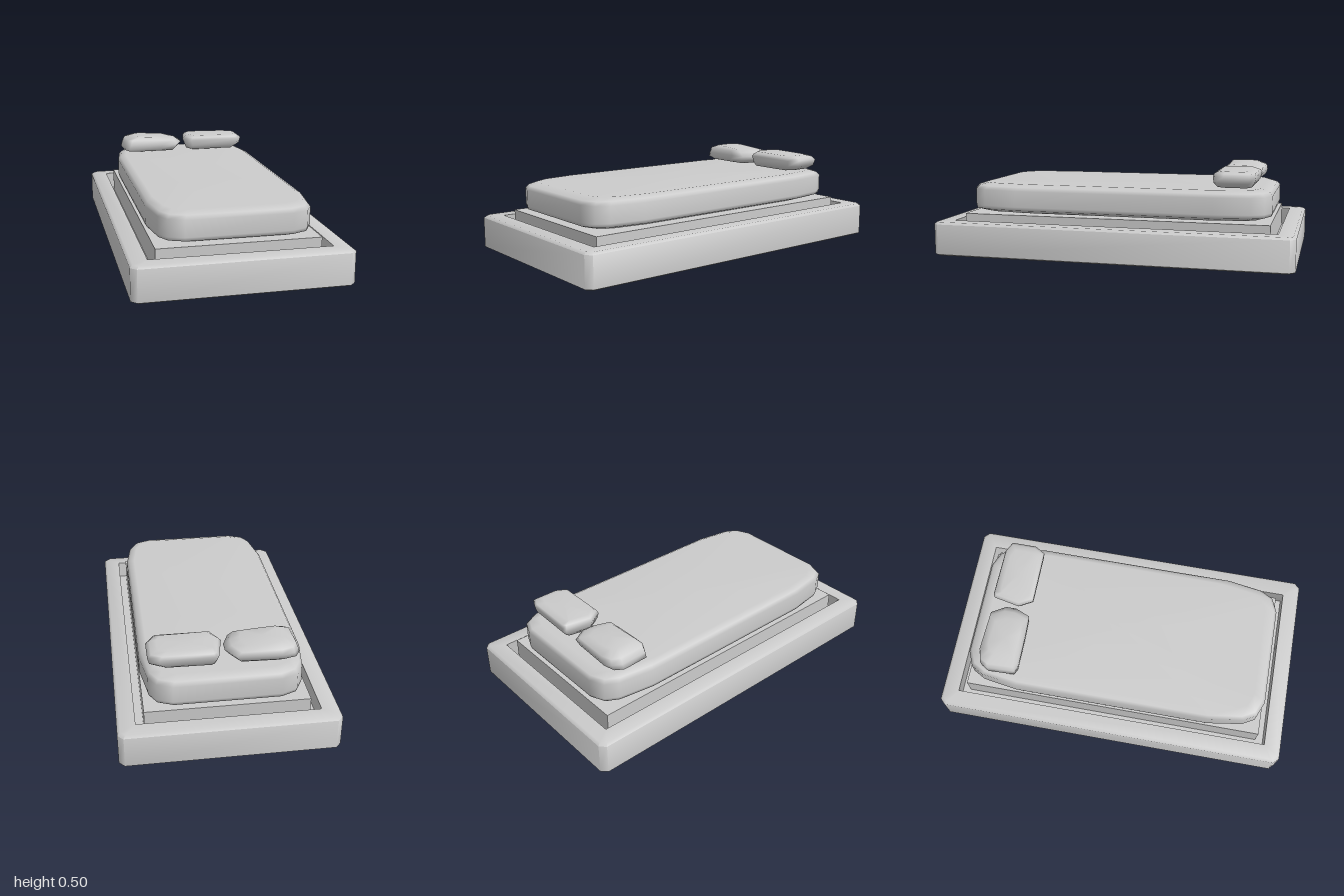
import * as THREE from 'three';
import { toCreasedNormals } from 'three/addons/utils/BufferGeometryUtils.js';

const material = new THREE.MeshStandardMaterial({ color: 0xcccccc });

// Rectangle with cut corners, as [x, z] points; cx and cz are the cut lengths
function cutRect(hx, hz, cx, cz = cx) {
  return [
    [hx, -hz + cz], [hx, hz - cz], [hx - cx, hz], [-hx + cx, hz],
    [-hx, hz - cz], [-hx, -hz + cz], [-hx + cx, -hz], [hx - cx, -hz],
  ];
}

// Stretch a unit outline to the given bounds at height y, tilting it along x
function ring(outline, y, x0, x1, z0, z1, tilt = 0) {
  return outline.map(([u, v]) => [
    (x0 + x1) / 2 + u * (x1 - x0) / 2, y + tilt * u, (z0 + z1) / 2 + v * (z1 - z0) / 2,
  ]);
}

// Closed skin over a stack of rings, capped at both ends
function loft(rings) {
  const n = rings[0].length;
  const pos = rings.flat(2);
  const index = [];
  for (let k = 0; k < rings.length - 1; k++) {
    for (let i = 0; i < n; i++) {
      const a = k * n + i, b = k * n + (i + 1) % n;
      index.push(a, a + n, b, b, a + n, b + n);
    }
  }
  [0, rings.length - 1].forEach((k) => {
    const centre = pos.length / 3;
    for (let c = 0; c < 3; c++) pos.push(rings[k].reduce((s, p) => s + p[c], 0) / n);
    for (let i = 0; i < n; i++) {
      const a = k * n + i, b = k * n + (i + 1) % n;
      if (k === 0) index.push(centre, a, b);
      else index.push(centre, b, a);
    }
  });
  const g = new THREE.BufferGeometry();
  g.setAttribute('position', new THREE.Float32BufferAttribute(pos, 3));
  g.setIndex(index);
  g.computeVertexNormals();
  return g;
}

function part(name, geometry) {
  const mesh = new THREE.Mesh(geometry, material);
  mesh.name = name;
  return mesh;
}

export function createModel() {
  const bed = new THREE.Group();
  bed.name = 'bed';

  // Frame: bevelled outside, flat rim, sunken floor
  const level = (pts, y) => pts.map(([x, z]) => [x, y, z]);
  const outer = cutRect(0.57, 1, 0.03);
  const outerEdge = cutRect(0.555, 0.985, 0.025);
  const inner = cutRect(0.475, 0.905, 0.001);
  bed.add(part('frame', toCreasedNormals(loft([
    level(outerEdge, 0), level(outer, 0.008), level(outer, 0.178), level(outerEdge, 0.19),
    level(inner, 0.19), level(inner, 0.09),
  ]), 1.0)));

  // Platform under the mattress
  const platform = part('platform', new THREE.BoxGeometry(0.86, 0.135, 1.72));
  platform.position.y = 0.1575;
  bed.add(platform);

  // Mattress: softened corners that taper along the long sides
  const q = [[1, 0.65], [0.93, 0.88], [0.84, 0.96], [0.65, 1]];
  const mirrored = (sx, sz) => q.map(([x, z]) => [x * sx, z * sz]);
  const soft = [
    ...mirrored(1, 1), ...mirrored(-1, 1).reverse(),
    ...mirrored(-1, -1), ...mirrored(1, -1).reverse(),
  ];
  bed.add(part('mattress', loft([
    [0.23, 0.37, 0.80], [0.25, 0.425, 0.852], [0.27, 0.43, 0.857],
    [0.36, 0.43, 0.857], [0.38, 0.415, 0.84], [0.396, 0.385, 0.79],
  ].map(([y, hx, hz]) => ring(soft, y, -hx, hx, -hz, hz)))));

  // Pillows: uneven cushions, each with its own outline and section
  const rightOutline = [
    [1, -0.25], [1, 0.25], [0.82, 0.97], [0.3, 1], [-0.8, 1], [-0.97, 0.85],
    [-1, -0.45], [-0.85, -0.85], [-0.5, -1], [0.75, -0.92],
  ];
  bed.add(part('rightPillow', loft([
    ring(rightOutline, 0.406, -0.355, -0.045, -0.75, -0.565),
    ring(rightOutline, 0.422, -0.392, -0.03, -0.77, -0.546),
    ring(rightOutline, 0.45, -0.383, -0.005, -0.78, -0.545),
    ring(rightOutline, 0.478, -0.37, -0.04, -0.775, -0.55, -0.004),
    ring(rightOutline, 0.495, -0.31, -0.09, -0.73, -0.57, -0.007),
  ])));

  const leftOutline = [
    [1, -0.7], [1, 0.5], [0.82, 1], [-0.78, 1], [-1, 0.35],
    [-0.85, -0.9], [-0.75, -1], [0.7, -0.95],
  ];
  bed.add(part('leftPillow', loft([
    ring(leftOutline, 0.406, 0.03, 0.345, -0.75, -0.565),
    ring(leftOutline, 0.432, 0.02, 0.386, -0.77, -0.548),
    ring(leftOutline, 0.467, 0.005, 0.395, -0.778, -0.545),
    ring(leftOutline, 0.483, 0.02, 0.375, -0.77, -0.55),
    ring(leftOutline, 0.494, 0.04, 0.34, -0.735, -0.57, -0.002),
  ])));

  return bed;
}
